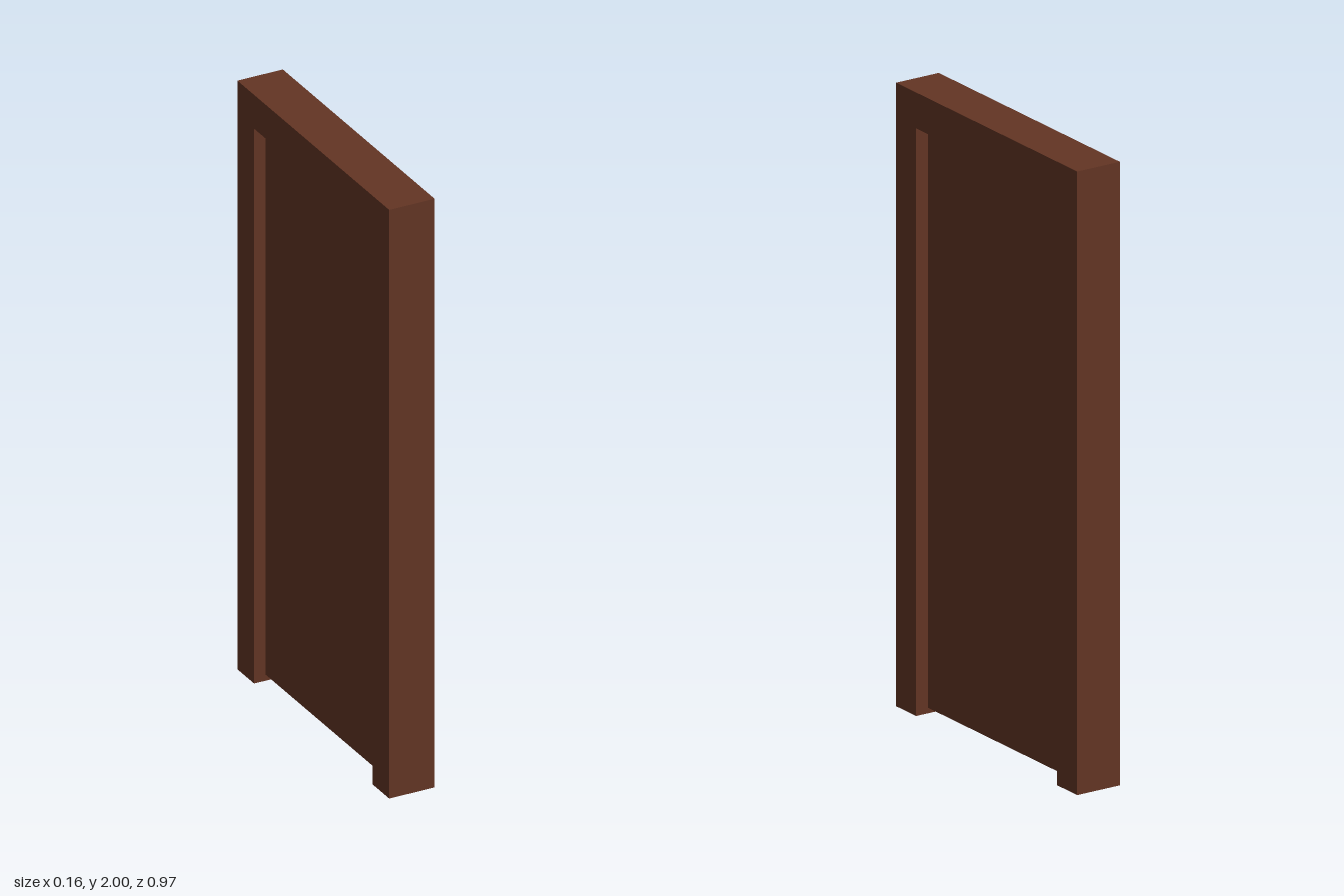
import * as THREE from 'three';

const HEIGHT = 2, HALF_WIDTH = 0.485, DEPTH = 0.156;
const OPENING_HALF = 0.378, OPENING_TOP = 1.885;

export function createModel() {
  const model = new THREE.Group();
  model.name = 'door';

  const wood = new THREE.MeshStandardMaterial({ color: 0x633524 });
  wood.name = 'dark brown wood';

  // Frame: one upside-down U of two jambs and a lintel, with no threshold
  const outline = new THREE.Shape([
    [-HALF_WIDTH, 0], [-OPENING_HALF, 0], [-OPENING_HALF, OPENING_TOP],
    [OPENING_HALF, OPENING_TOP], [OPENING_HALF, 0], [HALF_WIDTH, 0],
    [HALF_WIDTH, HEIGHT], [-HALF_WIDTH, HEIGHT],
  ].map(([x, y]) => new THREE.Vector2(x, y)));
  const frameGeometry = new THREE.ExtrudeGeometry(outline, { depth: DEPTH, bevelEnabled: false });
  frameGeometry.translate(0, 0, -DEPTH / 2).rotateY(Math.PI / 2);
  const frame = new THREE.Mesh(frameGeometry, wood);
  frame.name = 'doorFrame';
  model.add(frame);

  // Door leaf: recessed on both sides, with a gap below and a slit at the +z jamb
  const bottom = 0.02, slit = 0.005, thickness = 0.076;
  const leaf = new THREE.Mesh(
    new THREE.BoxGeometry(thickness, OPENING_TOP - bottom, 2 * OPENING_HALF - slit), wood);
  leaf.position.set(0, (OPENING_TOP + bottom) / 2, -slit / 2);
  leaf.name = 'doorLeaf';
  model.add(leaf);

  return model;
}
